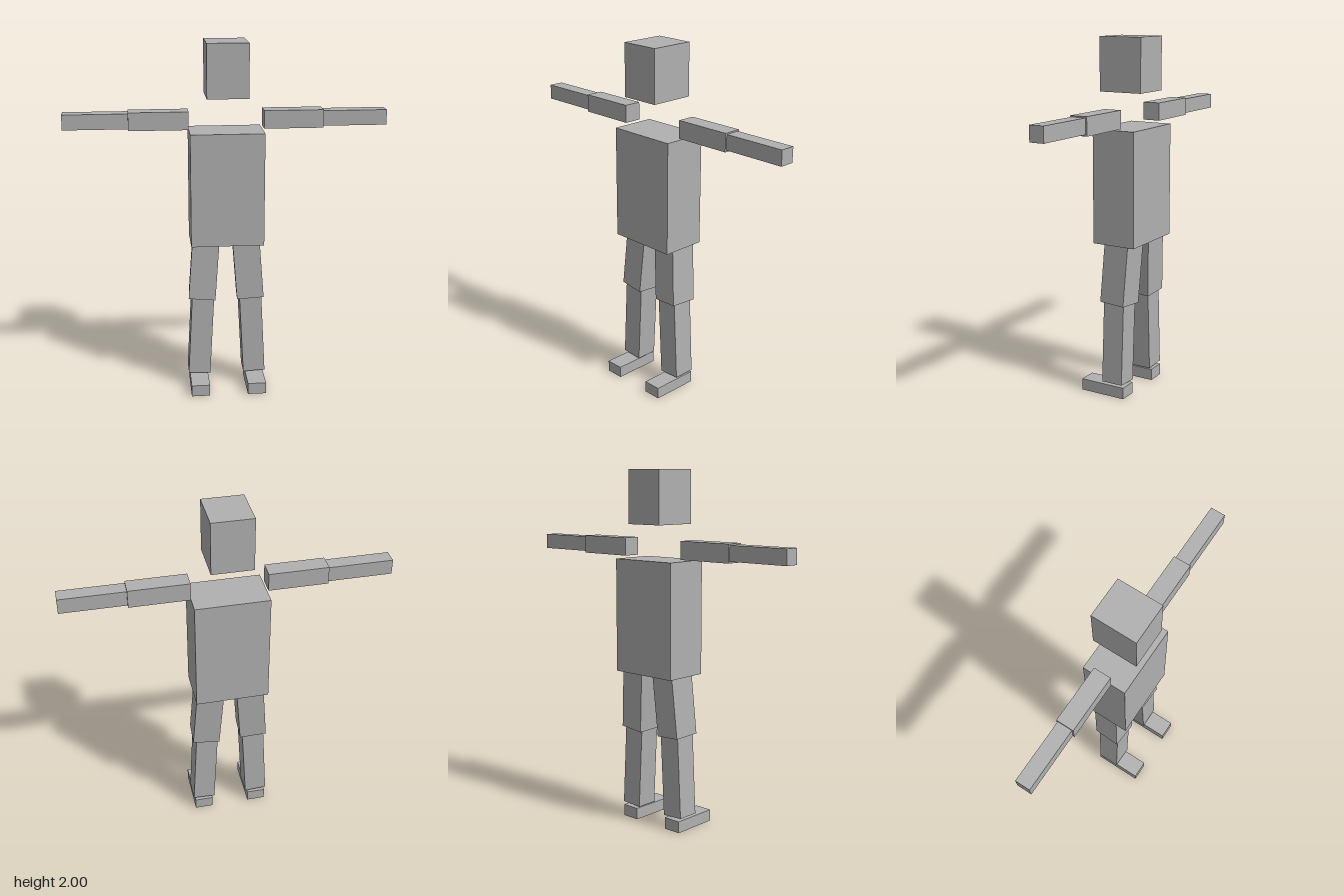
import * as THREE from 'three';

const grey = new THREE.MeshStandardMaterial({ color: 0xb0b0b0 });
grey.name = 'plain grey';

export function createModel() {
  const model = new THREE.Group();
  model.name = 'blockFigure';

  const addBox = (name, size, position) => {
    const mesh = new THREE.Mesh(new THREE.BoxGeometry(...size), grey);
    mesh.name = name;
    mesh.position.set(...position);
    model.add(mesh);
    return mesh;
  };

  // Square-section limb running between two points, twisted about its own axis
  const addLimb = (name, width, bottom, top, twist = 0) => {
    const a = new THREE.Vector3(...bottom);
    const b = new THREE.Vector3(...top);
    const axis = b.clone().sub(a);
    const mesh = addBox(name, [width, axis.length(), width], a.clone().add(b).multiplyScalar(0.5).toArray());
    mesh.quaternion.setFromUnitVectors(new THREE.Vector3(0, 1, 0), axis.normalize());
    mesh.rotateY(twist);
  };

  // Head and torso
  addBox('head', [0.228, 0.295, 0.255], [0, 1.8525, -0.028]);
  addBox('torso', [0.408, 0.635, 0.255], [0, 1.195, -0.038]);

  for (const [side, s] of [['left', 1], ['right', -1]]) {
    // Arms held straight out
    addBox(side + 'UpperArm', [0.328, 0.1, 0.1], [s * 0.371, 1.574, -0.04]);
    addBox(side + 'Forearm', [0.355, 0.084, 0.084], [s * 0.713, 1.575, -0.04]);

    // Legs splayed slightly outward; both thighs twist the same way
    addLimb(side + 'Thigh', 0.153, [s * 0.139, 0.54, -0.037], [s * 0.111, 0.92, -0.054], -0.06);
    addLimb(side + 'Shin', 0.126, [s * 0.16, 0.08, -0.037], [s * 0.136, 0.55, -0.037]);

    // Feet
    addBox(side + 'Foot', [0.105, 0.066, 0.273], [s * 0.162, 0.033, 0.03]);
  }
  return model;
}
